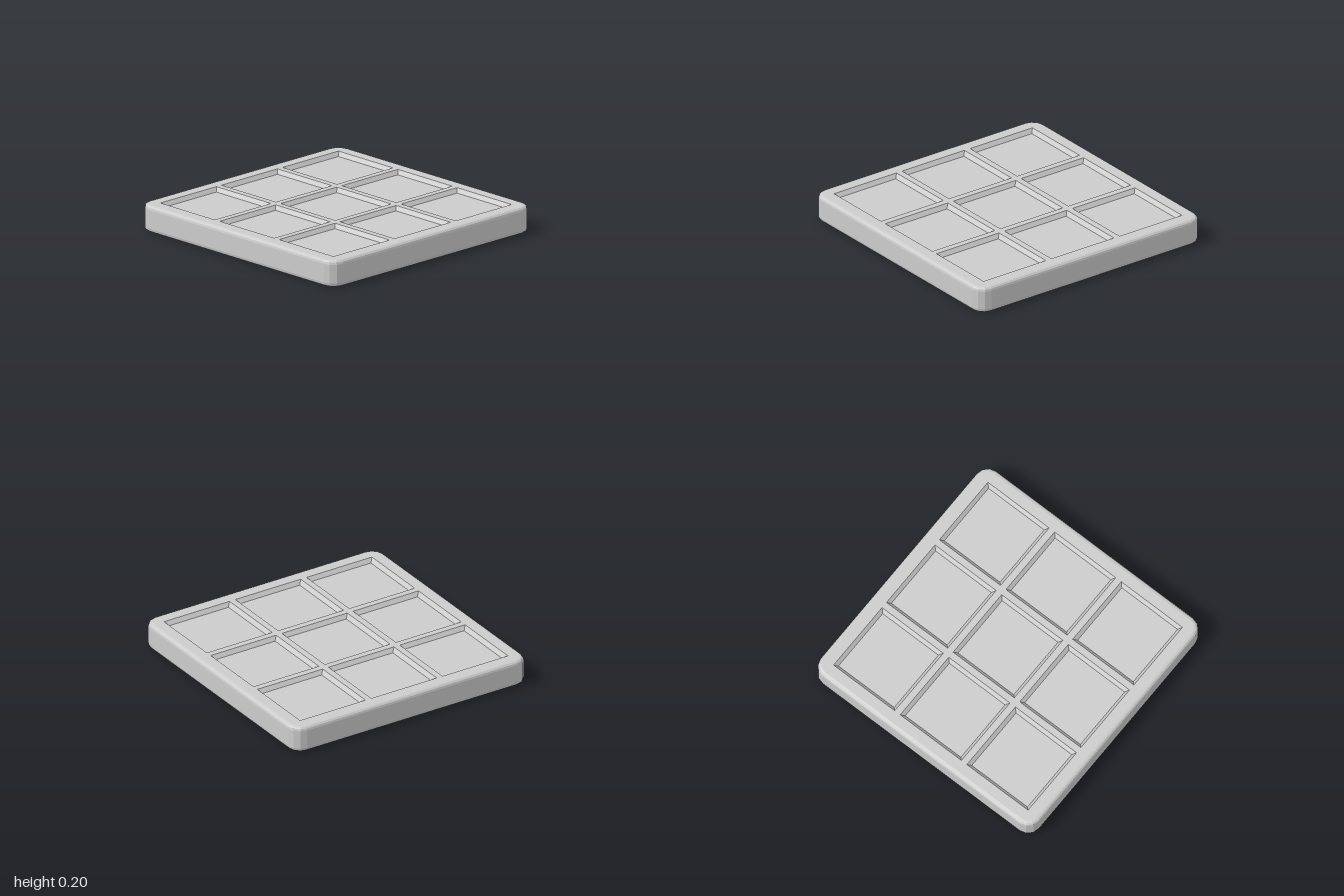
import * as THREE from 'three';

const H = 0.2, HALF = 1, CORNER = 0.1, ROUND = 0.03;       // slab
const PITCH = 0.61, OPEN = 0.28, FLOOR = 0.255, DEPTH = 0.03; // recesses

const material = new THREE.MeshStandardMaterial({ color: 0xcccccc, flatShading: true });

function addMesh(parent, name, geometry) {
  const mesh = new THREE.Mesh(geometry, material);
  mesh.name = name;
  parent.add(mesh);
  return mesh;
}

// Rounded square outline as [x, z] pairs, three facets per corner
function outline(inset) {
  const r = CORNER - inset, c = HALF - CORNER, points = [];
  for (let q = 0; q < 4; q++) {
    const sx = q === 0 || q === 3 ? 1 : -1, sz = q < 2 ? 1 : -1;
    for (let i = 0; i <= 3; i++) {
      const a = (q + i / 3) * Math.PI / 2;
      points.push([sx * c + r * Math.cos(a), sz * c + r * Math.sin(a)]);
    }
  }
  return points;
}

const square = (h) => [[h, h], [-h, h], [-h, -h], [h, -h]];

// Joins closed rings { y, points } with quads
function loft(rings) {
  const n = rings[0].points.length, positions = [], index = [];
  rings.forEach(({ y, points }) => points.forEach(([x, z]) => positions.push(x, y, z)));
  for (let i = 0; i < rings.length - 1; i++) {
    for (let j = 0; j < n; j++) {
      const a = i * n + j, b = i * n + (j + 1) % n;
      index.push(a, a + n, b, b, a + n, b + n);
    }
  }
  const geometry = new THREE.BufferGeometry();
  geometry.setAttribute('position', new THREE.Float32BufferAttribute(positions, 3));
  geometry.setIndex(index);
  geometry.computeVertexNormals();
  return geometry;
}

// One face of the slab: flat grid with nine shallow bevelled recesses
function createFace(name) {
  const face = new THREE.Group();
  face.name = name;
  const toVectors = (points) => points.map(([x, z]) => new THREE.Vector2(x, z));
  const shape = new THREE.Shape(toVectors(outline(ROUND)));
  for (let row = -1; row <= 1; row++) {
    for (let col = -1; col <= 1; col++) {
      const x = col * PITCH, z = row * PITCH;
      const hole = square(OPEN).map(([u, v]) => [u + x, v + z]);
      shape.holes.push(new THREE.Path(toVectors(hole)));

      const walls = addMesh(face, 'recessWalls', loft([
        { y: H / 2, points: square(OPEN) },
        { y: H / 2 - DEPTH, points: square(FLOOR) },
      ]));
      walls.position.set(x, 0, z);
      const floor = addMesh(face, 'recessFloor',
        new THREE.PlaneGeometry(2 * FLOOR, 2 * FLOOR).rotateX(-Math.PI / 2));
      floor.position.set(x, H / 2 - DEPTH, z);
    }
  }
  const grid = addMesh(face, 'gridFace', new THREE.ShapeGeometry(shape).rotateX(-Math.PI / 2));
  grid.position.y = H / 2;
  return face;
}

export function createModel() {
  const model = new THREE.Group();
  model.name = 'panel';

  // Outer rim with rounded lower and upper edges
  const rings = [];
  for (const side of [-1, 1]) {
    for (let i = 0; i <= 3; i++) {
      const a = (side < 0 ? 3 - i : i) / 3 * Math.PI / 2;
      rings.push({
        y: H / 2 + side * (H / 2 - ROUND + ROUND * Math.sin(a)),
        points: outline(ROUND * (1 - Math.cos(a))),
      });
    }
  }
  addMesh(model, 'rim', loft(rings));

  // Matching faces above and below
  const top = createFace('topFace');
  const bottom = createFace('bottomFace');
  bottom.rotation.x = Math.PI;
  top.position.y = bottom.position.y = H / 2;
  model.add(top, bottom);
  return model;
}
